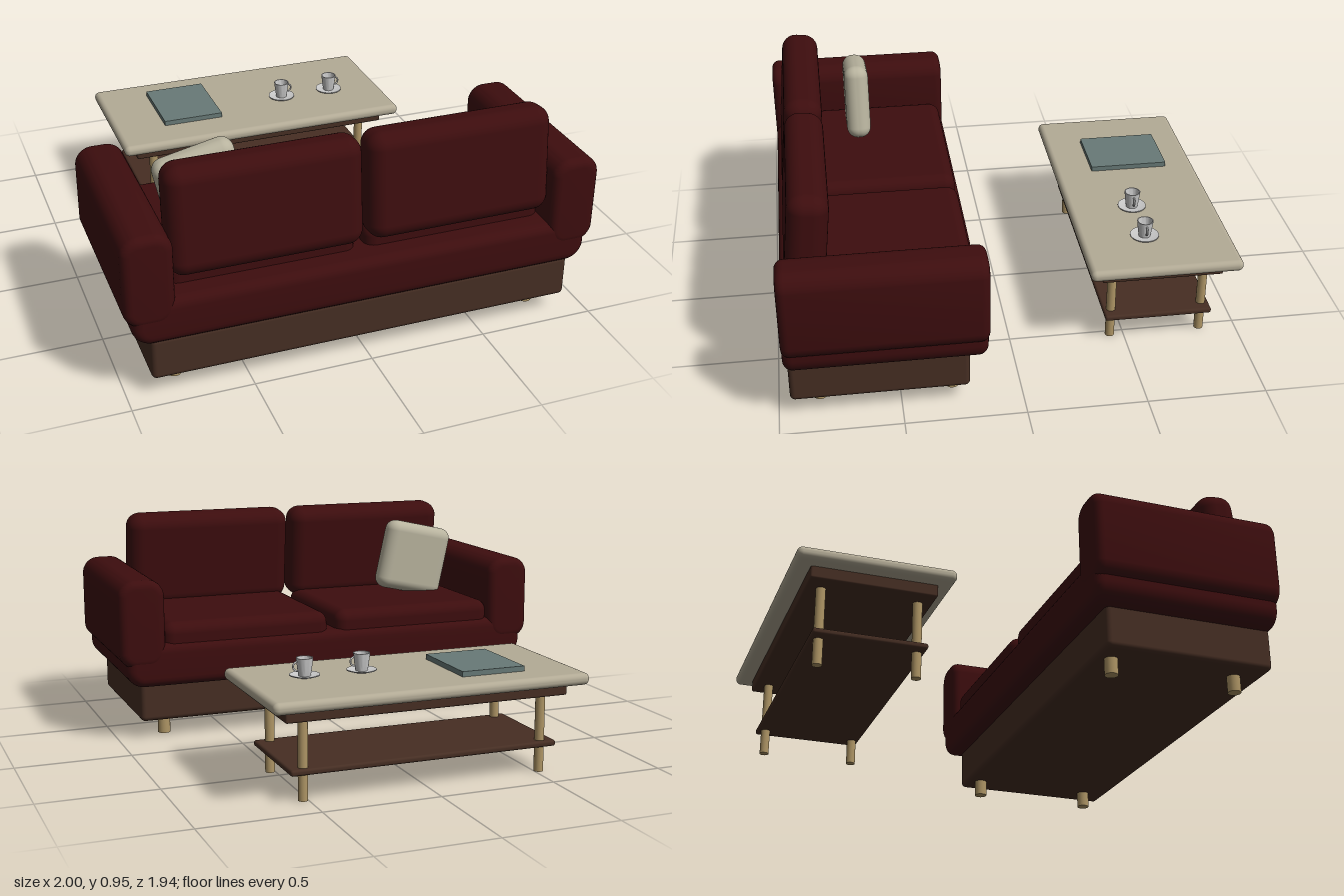
import * as THREE from 'three';
import { RoundedBoxGeometry } from 'three/addons/geometries/RoundedBoxGeometry.js';
import { toCreasedNormals } from 'three/addons/utils/BufferGeometryUtils.js';

const paint = (name, color) => {
  const m = new THREE.MeshStandardMaterial({ color });
  m.name = name;
  return m;
};

// Rounded box given by its limits on each axis
function softBox(name, mat, [x0, x1], [y0, y1], [z0, z1], r) {
  const mesh = new THREE.Mesh(new RoundedBoxGeometry(x1 - x0, y1 - y0, z1 - z0, 5, r), mat);
  mesh.position.set((x0 + x1) / 2, (y0 + y1) / 2, (z0 + z1) / 2);
  mesh.name = name;
  return mesh;
}

// Rounded rectangle in xy, extruded along z with a smaller rounded bevel at both ends
function bolster(name, mat, [x0, x1], [y0, y1], [z0, z1], r, bevel) {
  const w = (x1 - x0) / 2 - bevel, h = (y1 - y0) / 2 - bevel, c = r - bevel;
  const s = new THREE.Shape();
  s.absarc(w - c, h - c, c, 0, Math.PI / 2);
  s.absarc(-w + c, h - c, c, Math.PI / 2, Math.PI);
  s.absarc(-w + c, -h + c, c, Math.PI, Math.PI * 1.5);
  s.absarc(w - c, -h + c, c, Math.PI * 1.5, Math.PI * 2);
  const depth = z1 - z0 - 2 * bevel;
  const geo = new THREE.ExtrudeGeometry(s, {
    depth, bevelEnabled: true, bevelSize: bevel, bevelThickness: bevel, bevelSegments: 5, curveSegments: 7,
  });
  geo.translate(0, 0, -depth / 2);
  const mesh = new THREE.Mesh(toCreasedNormals(geo, 0.6), mat);
  mesh.position.set((x0 + x1) / 2, (y0 + y1) / 2, (z0 + z1) / 2);
  mesh.name = name;
  return mesh;
}

function post(name, mat, x, z, y0, y1, r) {
  const mesh = new THREE.Mesh(new THREE.CylinderGeometry(r, r, y1 - y0, 20), mat);
  mesh.position.set(x, (y0 + y1) / 2, z);
  mesh.name = name;
  return mesh;
}

function lathe(name, mat, points) {
  const geo = new THREE.LatheGeometry(points.map(([x, y]) => new THREE.Vector2(x, y)), 32);
  const mesh = new THREE.Mesh(toCreasedNormals(geo, 0.6), mat);
  mesh.name = name;
  return mesh;
}

// Cup with handle, standing on a saucer
function cupAndSaucer(mat) {
  const g = new THREE.Group();
  g.name = 'cupAndSaucer';
  g.add(lathe('saucer', mat, [[0, 0], [0.036, 0], [0.062, 0.008], [0.062, 0.012], [0.036, 0.006], [0, 0.006]]));
  g.add(lathe('cup', mat, [[0, 0.006], [0.025, 0.006], [0.029, 0.03], [0.035, 0.08],
    [0.031, 0.08], [0.025, 0.03], [0.021, 0.014], [0, 0.014]]));
  const handle = new THREE.Mesh(new THREE.TorusGeometry(0.019, 0.004, 8, 20, Math.PI), mat);
  handle.name = 'cupHandle';
  handle.rotation.z = -Math.PI / 2;
  handle.position.set(0.03, 0.046, 0);
  g.add(handle);
  return g;
}

export function createModel() {
  const upholstery = paint('dark red upholstery', 0x3d0d0e);
  const darkWood = paint('dark wood', 0x462e23);
  const paleWood = paint('pale wood', 0xae9565);
  const stone = paint('beige table top', 0xb3ab96);
  const linen = paint('cream linen', 0xb8b39e);
  const cover = paint('grey teal cover', 0x687a77);
  const china = paint('light grey china', 0xcacaca);

  const model = new THREE.Group();
  model.name = 'sofaAndCoffeeTable';

  // Sofa, its seat facing -z
  const sofa = new THREE.Group();
  sofa.name = 'sofa';
  sofa.add(softBox('sofaBase', darkWood, [-0.9, 0.9], [0.08, 0.268], [0.22, 0.95], 0.022));
  sofa.add(bolster('seatDeck', upholstery, [-0.97, 0.97], [0.25, 0.444], [0.15, 0.966], 0.08, 0.04));
  for (const s of [-1, 1]) {
    const span = (a, b) => (s > 0 ? [a, b] : [-b, -a]);
    sofa.add(bolster('armrest', upholstery, span(0.795, 1), [0.338, 0.73], [0.148, 0.968], 0.075, 0.035));
    sofa.add(softBox('seatCushion', upholstery, span(0.02, 0.8), [0.38, 0.53], [0.17, 0.86], 0.05));
    const back = softBox('backCushion', upholstery, span(0.01, 0.803), [0.495, 0.945], [0.758, 0.923], 0.065);
    back.rotation.x = -0.1;
    sofa.add(back);
    for (const z of [0.285, 0.83]) sofa.add(post('sofaLeg', paleWood, s * 0.783, z, 0.01, 0.1, 0.028));
  }

  // Throw pillow, leaning to one side
  const pillow = softBox('throwPillow', linen, [-0.75, -0.41], [0.522, 0.862], [0.52, 0.63], 0.05);
  pillow.rotation.z = 0.22;
  sofa.add(pillow);

  // Coffee table
  const table = new THREE.Group();
  table.name = 'coffeeTable';
  table.add(softBox('tableTop', stone, [-0.678, 0.678], [0.38, 0.43], [-0.97, -0.317], 0.023));
  table.add(softBox('tableApron', darkWood, [-0.61, 0.61], [0.33, 0.39], [-0.902, -0.38], 0.008));
  table.add(softBox('lowerShelf', darkWood, [-0.58, 0.58], [0.109, 0.134], [-0.875, -0.407], 0.01));
  for (const x of [-0.52, 0.52])
    for (const z of [-0.84, -0.44]) table.add(post('tableLeg', paleWood, x, z, 0, 0.35, 0.02));

  // Things on the table
  const book = new THREE.Mesh(new THREE.BoxGeometry(0.28, 0.022, 0.35), cover);
  book.name = 'book';
  book.position.set(-0.305, 0.441, -0.66);
  table.add(book);
  for (const x of [0.175, 0.422]) {
    const set = cupAndSaucer(china);
    set.position.set(x, 0.43, -0.597);
    table.add(set);
  }

  model.add(sofa, table);
  return model;
}
